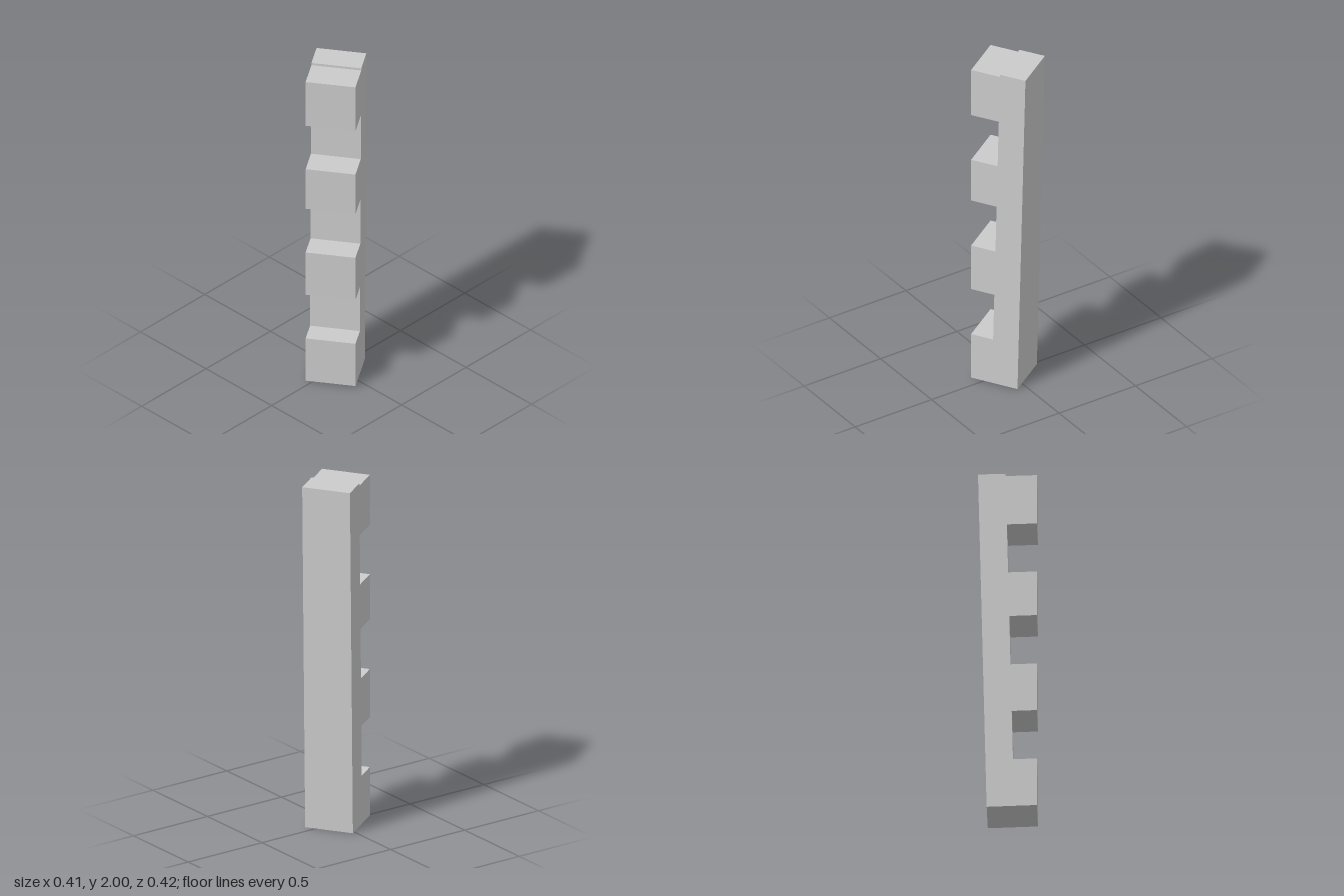
import * as THREE from 'three';

export function createModel() {
  const group = new THREE.Group();
  const material = new THREE.MeshStandardMaterial({ color: 0xcccccc, flatShading: true });

  const width = 0.276; // across the teeth
  const front = 0.16; // vertical plane of the tooth faces
  const lean = 0.0235; // the spine leans back towards the top
  const spineFront = y => -0.01 + (2 - y) * lean;
  const spineBack = y => -0.16 + (2 - y) * lean;

  // Side profile: leaning spine at the back, four square teeth in front
  const teeth = [[0.01, 0.29], [0.58, 0.86], [1.15, 1.412], [1.70, 1.99]];
  const profile = new THREE.Shape();
  profile.moveTo(spineBack(0), 0.002);
  teeth.forEach(([bottom, top], i) => {
    // Tooth ledges drop slightly towards the spine, square to its lean
    if (i > 0) profile.lineTo(spineFront(bottom), bottom - 0.004);
    profile.lineTo(front, bottom);
    profile.lineTo(front, top);
    profile.lineTo(spineFront(top), top - 0.004);
  });
  profile.lineTo(spineFront(2), 2);
  profile.lineTo(spineBack(2), 1.997);
  profile.closePath();

  const geometry = new THREE.ExtrudeGeometry(profile, { depth: width, bevelEnabled: false });
  geometry.translate(0, -0.001, -width / 2);

  // The whole rack is turned about its upright axis
  const rack = new THREE.Mesh(geometry, material);
  rack.name = 'toothedRack';
  rack.rotation.y = -0.982;
  group.add(rack);
  return group;
}
